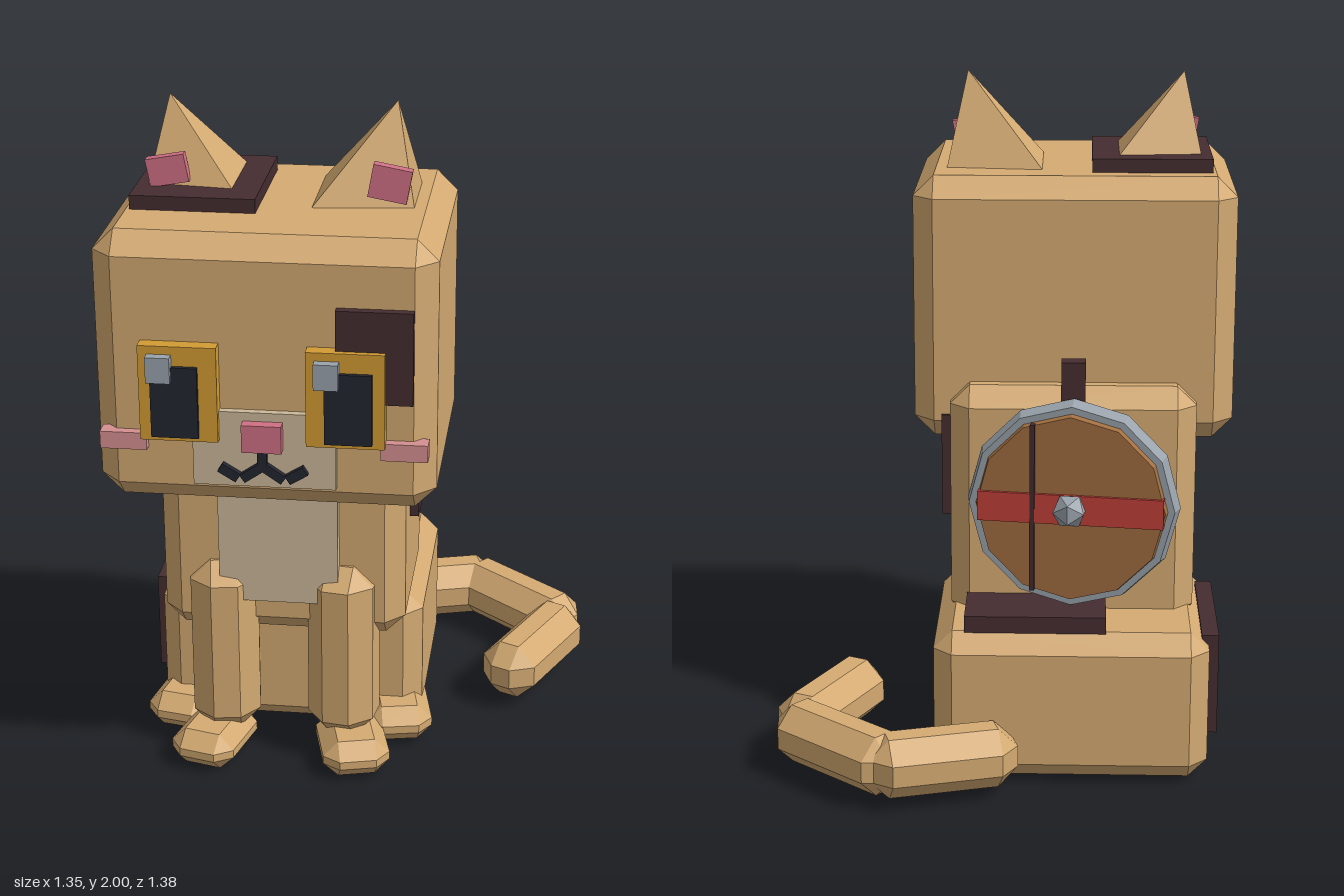
import * as THREE from 'three';
import { ConvexGeometry } from 'three/addons/geometries/ConvexGeometry.js';

const mat = (name, color) => {
  const m = new THREE.MeshStandardMaterial({ color, flatShading: true });
  m.name = name;
  return m;
};

// Box with bevelled edges, centred on the origin
function bevelBox(w, h, d, c) {
  const pts = [];
  for (const sx of [-1, 1]) for (const sy of [-1, 1]) for (const sz of [-1, 1]) {
    const x = w / 2, y = h / 2, z = d / 2;
    pts.push(
      new THREE.Vector3(sx * x, sy * (y - c), sz * (z - c)),
      new THREE.Vector3(sx * (x - c), sy * y, sz * (z - c)),
      new THREE.Vector3(sx * (x - c), sy * (y - c), sz * z));
  }
  return new ConvexGeometry(pts);
}

export function createModel() {
  const tan = mat('tan fur', 0xd4aa72), pale = mat('pale fur', 0xcbb898);
  const dark = mat('dark patch', 0x452d30), gold = mat('gold iris', 0xd29c34);
  const navy = mat('navy black', 0x23252f), pink = mat('pink', 0xcf7084);
  const blush = mat('blush', 0xd69090), silver = mat('silver', 0x9aa3ac);
  const red = mat('red', 0xc4403a), wood = mat('wood', 0xa36f40);

  const model = new THREE.Group();
  model.name = 'cat';
  const MID = -0.2; // the body's plane of symmetry in x

  function add(name, geo, material, pos, rot = [0, 0, 0], parent = model) {
    const m = new THREE.Mesh(geo, material);
    m.name = name;
    m.position.set(...pos);
    m.rotation.set(...rot);
    parent.add(m);
    return m;
  }
  const mid = (a, b) => (a + b) / 2;
  // Parts given by their extents: x0, x1, y0, y1, z0, z1
  const block = (name, material, [x0, x1, y0, y1, z0, z1], bevel = 0) =>
    add(name, bevel ? bevelBox(x1 - x0, y1 - y0, z1 - z0, bevel)
      : new THREE.BoxGeometry(x1 - x0, y1 - y0, z1 - z0),
    material, [mid(x0, x1), mid(y0, y1), mid(z0, z1)]);

  // Body masses
  block('head', tan, [-0.67, 0.27, 0.95, 1.73, -0.155, 0.6], 0.06);
  block('torso', tan, [-0.56, 0.16, 0.4, 1.13, -0.245, 0.32], 0.057);
  block('haunches', tan, [-0.6, 0.2, 0.01, 0.46, -0.49, 0.17], 0.055);
  block('chestPatch', pale, [-0.38, -0.03, 0.53, 1.0, 0.3, 0.36]);

  // Dark fur patches
  block('crownPatch', dark, [-0.6, -0.25, 1.72, 1.77, -0.04, 0.375]);
  block('browPatch', dark, [0, 0.21, 1.285, 1.55, 0.58, 0.625]);
  block('shoulderPatch', dark, [0.14, 0.187, 0.725, 1.03, -0.165, 0.14]);
  block('hipPatch', dark, [-0.63, -0.58, 0.13, 0.435, -0.39, 0.06]);
  block('rumpPatch', dark, [-0.3, 0.11, 0.44, 0.505, -0.44, -0.2]);

  // Paired parts, side -1 is the right and +1 the left
  for (const s of [-1, 1]) {
    const x = (d) => MID + s * d;
    add('frontLeg', bevelBox(0.2, 0.56, 0.2, 0.06), tan, [x(0.178), 0.36, 0.285], [0, -s * 0.15, 0]);
    add('frontPaw', bevelBox(0.2, 0.115, 0.27, 0.045), tan, [x(0.21), 0.058, 0.343], [0, s * 0.25, 0]);
    add('rearPaw', bevelBox(0.2, 0.115, 0.3, 0.045), tan, [x(0.32), 0.065, 0.125], [0, s * 0.2, 0]);

    // Ears lean outwards
    const ear = new THREE.ConeGeometry(0.215, 0.315, 4).rotateY(Math.PI / 4);
    add('ear', ear, tan, [x(0.282), 1.848, 0.155], [0, 0, -s * 0.24]);
    add('innerEar', new THREE.BoxGeometry(0.11, s < 0 ? 0.08 : 0.095, 0.032), pink,
      [x(0.31), s < 0 ? 1.815 : 1.797, 0.268], [0, 0, -s * 0.18]);

    add('blushMark', new THREE.BoxGeometry(0.13, 0.05, 0.05), blush, [x(0.387), 1.147, 0.602]);
    add('eye', new THREE.BoxGeometry(0.215, 0.275, 0.06), gold, [x(0.228), 1.298, 0.612]);
    add('pupil', new THREE.BoxGeometry(0.13, 0.205, 0.03), navy, [x(0.237), 1.277, 0.64]);
  }
  block('rightEyeGlint', silver, [-0.51, -0.443, 1.338, 1.412, 0.63, 0.67]);
  block('leftEyeGlint', silver, [-0.055, 0.012, 1.338, 1.412, 0.63, 0.67]);

  // Muzzle, nose and mouth
  block('muzzle', pale, [-0.395, 0, 1.025, 1.245, 0.58, 0.622]);
  block('nose', pink, [-0.255, -0.145, 1.14, 1.22, 0.6, 0.655]);
  block('mouthLine', navy, [-0.214, -0.188, 1.08, 1.15, 0.61, 0.64]);
  for (const s of [-1, 1]) {
    add('mouthInner', new THREE.BoxGeometry(0.066, 0.026, 0.03), navy, [MID + s * 0.03, 1.072, 0.625], [0, 0, -s * 0.6]);
    add('mouthOuter', new THREE.BoxGeometry(0.058, 0.028, 0.03), navy, [MID + s * 0.093, 1.07, 0.625], [0, 0, s * 0.55]);
  }

  // Tail: bevelled links between points in the ground plane
  const tail = [[[-0.04, -0.515], [0.38, -0.635]], [[0.29, -0.645], [0.645, -0.345]], [[0.62, -0.385], [0.435, 0.01]]];
  for (const [[x0, z0], [x1, z1]] of tail) {
    const len = Math.hypot(x1 - x0, z1 - z0);
    add('tailLink', bevelBox(0.18, 0.18, len, 0.058), tan,
      [mid(x0, x1), 0.118, mid(z0, z1)], [0, Math.atan2(x1 - x0, z1 - z0), 0]);
  }

  // Round shield on the back, its local +z facing outwards
  block('shieldStrap', dark, [-0.235, -0.165, 0.7, 1.225, -0.292, -0.24]);
  const shield = new THREE.Group();
  shield.name = 'shield';
  shield.position.set(MID, 0.81, -0.325);
  shield.rotation.y = Math.PI - 0.14;
  model.add(shield);
  const disc = (rFront, rBack, t) => new THREE.CylinderGeometry(rFront, rBack, t, 12).rotateX(Math.PI / 2);
  add('shieldRim', disc(0.3, 0.312, 0.05), silver, [0, 0, 0], [0, 0, 0], shield);
  add('shieldBoard', disc(0.275, 0.285, 0.04), wood, [0, 0, 0.025], [0, 0, 0], shield);
  add('shieldBand', new THREE.BoxGeometry(0.54, 0.088, 0.03), red, [0, 0, 0.04], [0, 0, 0], shield);
  add('shieldSeam', new THREE.BoxGeometry(0.014, 0.5, 0.034), dark, [-0.11, 0, 0.041], [0, 0, 0], shield);
  add('shieldBoss', new THREE.IcosahedronGeometry(0.053, 0), silver, [0, 0, 0.06], [0, 0, 0], shield);

  return model;
}
